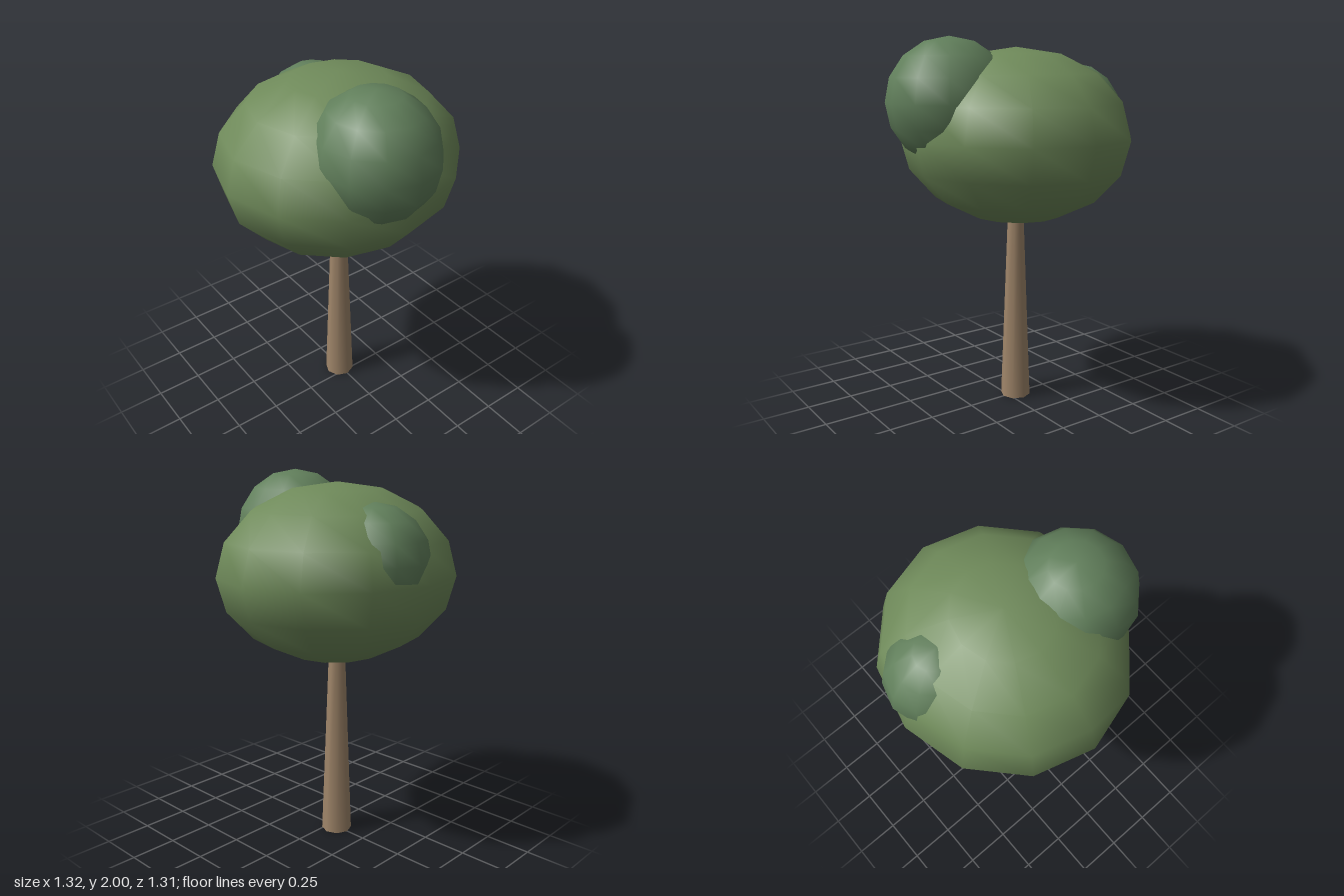
import * as THREE from 'three';

const bark = new THREE.MeshStandardMaterial({ color: 0xa0866a });
const leaf = new THREE.MeshStandardMaterial({ color: 0x6f8a5a });
const darkLeaf = new THREE.MeshStandardMaterial({ color: 0x617f5b });

// Smooth low-poly clump of foliage: a sphere stretched to the given radii
function clump(name, material, center, radii) {
  const geometry = new THREE.SphereGeometry(1, 12, 8);
  geometry.scale(...radii);
  const mesh = new THREE.Mesh(geometry, material);
  mesh.name = name;
  mesh.position.set(...center);
  return mesh;
}

export function createModel() {
  const tree = new THREE.Group();
  tree.name = 'tree';

  // Tapered trunk, its top buried in the crown
  const height = 1.1;
  const trunk = new THREE.Mesh(new THREE.CylinderGeometry(0.042, 0.083, height, 8), bark);
  trunk.name = 'trunk';
  trunk.position.set(-0.05, height / 2, 0);
  tree.add(trunk);

  // Main crown with a side clump on each side
  tree.add(
    clump('crown', leaf, [-0.05, 1.483, 0], [0.61, 0.465, 0.655]),
    clump('leftClump', darkLeaf, [0.32, 1.67, 0.06], [0.335, 0.33, 0.322]),
    clump('rightClump', darkLeaf, [-0.37, 1.585, -0.075], [0.285, 0.28, 0.265])
  );
  return tree;
}
